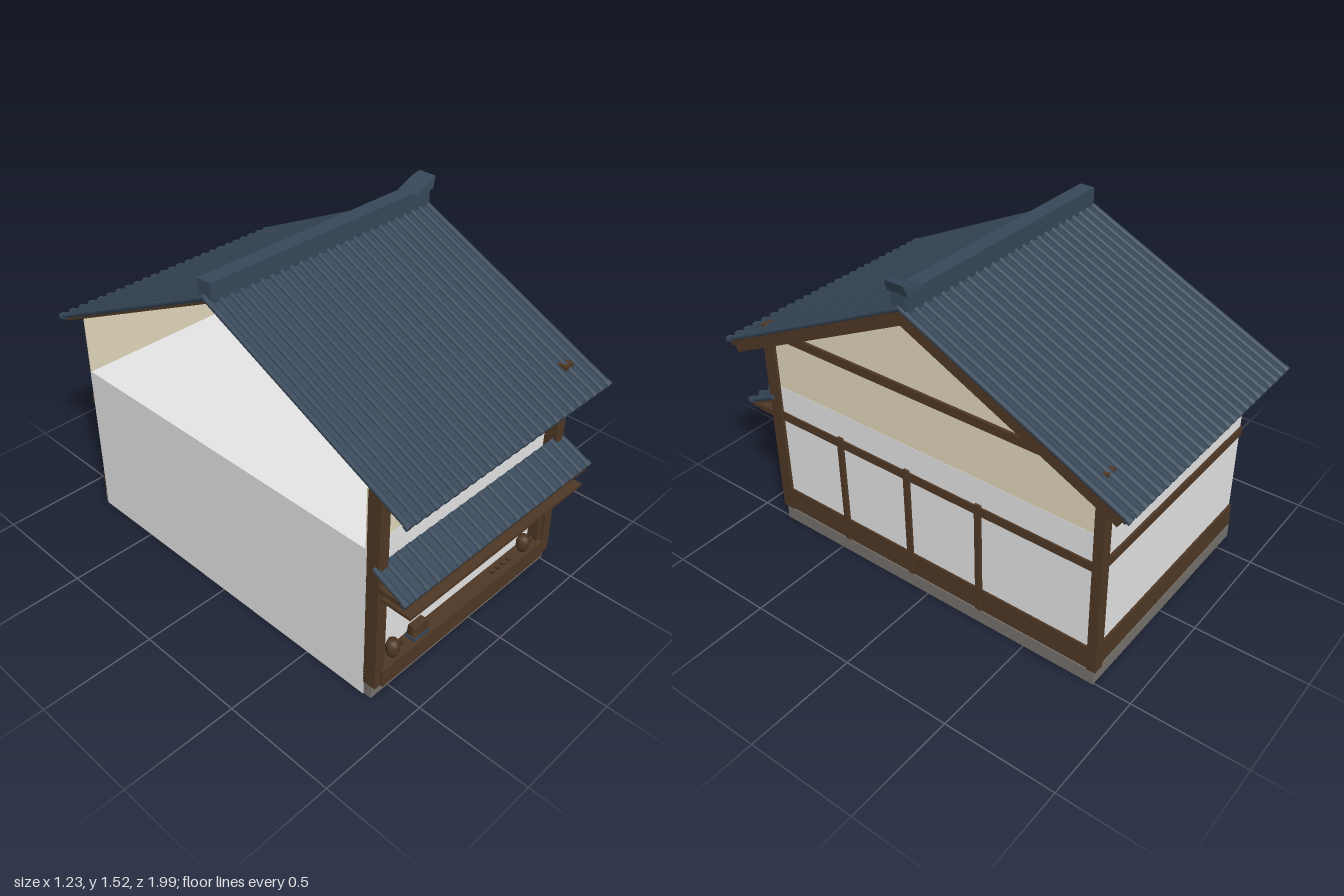
import * as THREE from 'three';

const mat = (name, hex) => {
  const m = new THREE.MeshStandardMaterial({ color: hex, side: THREE.DoubleSide });
  m.name = name;
  return m;
};

export function createModel() {
  const wood = mat('dark wood', 0x4f3825);
  const plaster = mat('cream plaster', 0xe3d8bc);
  const white = mat('white wall', 0xe6e6e6);
  const tile = mat('slate blue tile', 0x37485a);
  const stone = mat('foundation stone', 0x76716c);

  const house = new THREE.Group();
  house.name = 'townhouse';

  const add = (parent, name, geo, material) => {
    const mesh = new THREE.Mesh(geo, material);
    mesh.name = name;
    parent.add(mesh);
    return mesh;
  };
  // Box given by its limits on each axis
  const box = (name, material, x0, x1, y0, y1, z0, z1, parent = house) => {
    const mesh = add(parent, name, new THREE.BoxGeometry(x1 - x0, y1 - y0, z1 - z0), material);
    mesh.position.set((x0 + x1) / 2, (y0 + y1) / 2, (z0 + z1) / 2);
    return mesh;
  };

  // Foundation and solid lower body
  box('foundation', stone, -0.598, 0.51, 0.003, 0.068, -0.835, 0.84);
  box('lowerBody', white, -0.6, 0.497, 0, 0.73, -0.822, 0.802);

  // Upper walls; the -x end is left open above the body
  box('upperFrontWall', plaster, -0.6, 0.495, 0.73, 1.0, 0.795, 0.801);
  box('upperBackWall', plaster, -0.6, 0.495, 0.73, 0.99, -0.821, -0.815);
  const gable = new THREE.Shape();
  gable.moveTo(-0.82, 0.73);
  gable.lineTo(0.82, 0.73);
  gable.lineTo(0.82, 0.98);
  gable.lineTo(0, 1.37);
  gable.lineTo(-0.82, 0.98);
  const gableMesh = add(house, 'gableWall',
    new THREE.ExtrudeGeometry(gable, { depth: 0.006, bevelEnabled: false }), plaster);
  gableMesh.rotation.y = Math.PI / 2;
  gableMesh.position.x = 0.49;
  box('shopLintelPanel', plaster, -0.55, 0.43, 0.515, 0.57, 0.8, 0.81);

  // Corner posts
  box('frontPost', wood, -0.6, -0.55, 0.068, 1.0, 0.8, 0.86);
  box('frontPost', wood, 0.46, 0.51, 0.068, 1.02, 0.8, 0.86);
  box('innerFrontPost', wood, 0.43, 0.46, 0.068, 0.57, 0.8, 0.85);
  box('backPost', wood, 0.46, 0.51, 0.068, 1.02, -0.842, -0.8);

  // Side framing
  box('sideSill', wood, 0.49, 0.505, 0.068, 0.178, -0.8, 0.8);
  box('sideRail', wood, 0.49, 0.505, 0.56, 0.6, -0.8, 0.8);
  box('gableRail', wood, 0.49, 0.508, 0.975, 1.015, -0.83, 0.83);
  for (const z of [0.457, 0.092, -0.272]) {
    box('sideStud', wood, 0.49, 0.51, 0.068, 0.61, z - 0.014, z + 0.014);
  }

  // Back framing
  box('backSill', wood, -0.6, 0.46, 0.068, 0.178, -0.832, -0.815);
  box('backRail', wood, -0.6, 0.46, 0.56, 0.6, -0.832, -0.815);

  // Shop front sill and boards
  box('shopSill', wood, -0.57, 0.45, 0.068, 0.15, 0.79, 0.872);
  box('awningBeam', wood, -0.6, 0.51, 0.567, 0.588, 0.8, 0.985);
  box('hangingBoard', wood, -0.585, 0.465, 0.514, 0.528, 0.8, 0.998);

  // Upper window frames
  for (const [x0, x1] of [[-0.385, -0.08], [-0.037, 0.265]]) {
    for (const x of [x0, x1 - 0.016]) box('windowJamb', wood, x, x + 0.016, 0.718, 0.95, 0.8, 0.825);
    for (const y of [0.718, 0.935]) box('windowRail', wood, x0, x1, y, y + 0.016, 0.8, 0.825);
  }

  // Tiled slope running down local +z: pan, round ribs with end caps, boards below
  const slope = (name, x0, x1, length, r, count) => {
    const g = new THREE.Group();
    g.name = name;
    box('tilePan', tile, x0, x1, -r * 1.9, -r * 1.0, 0, length, g);
    box('soffitBoard', wood, x0 + 0.005, x1 - 0.005, -r * 2.6, -r * 1.9, 0, length - 0.012, g);
    const rib = new THREE.CylinderGeometry(r * 0.78, r * 0.78, length, 8).rotateX(Math.PI / 2);
    const cap = new THREE.CylinderGeometry(r, r, 0.02, 8).rotateX(Math.PI / 2);
    for (let i = 0; i < count; i++) {
      const x = x0 + ((x1 - x0) * i) / (count - 1);
      add(g, 'tileRib', rib, tile).position.set(x, -r, length / 2);
      add(g, 'ribEndCap', cap, tile).position.set(x, -r * 1.05, length - 0.008);
    }
    return g;
  };

  // Main roof, both slopes
  const pitch = Math.atan(0.48);
  for (const side of [1, -1]) {
    const [x0, x1] = side > 0 ? [-0.6, 0.585] : [-0.585, 0.6];
    const roof = slope('roofSlope', x0, x1, 1.1, 0.016, 25);
    const edge = side * 0.572;
    box('upperBargeboard', wood, edge - 0.016, edge + 0.018, -0.045, -0.02, 0, 1.09, roof);
    box('lowerBargeboard', wood, edge - 0.016, edge + 0.014, -0.08, -0.045, 0, 1.075, roof);
    roof.rotation.x = pitch;
    const holder = new THREE.Group();
    holder.name = side > 0 ? 'frontRoof' : 'backRoof';
    holder.add(roof);
    holder.position.y = 1.43;
    holder.rotation.y = side > 0 ? 0 : Math.PI;
    house.add(holder);
  }

  // Ridge and its flared end ornament
  box('ridge', tile, -0.6, 0.59, 1.39, 1.48, -0.035, 0.035);
  const horn = new THREE.Shape();
  horn.moveTo(0.49, 1.472);
  horn.lineTo(0.592, 1.472);
  horn.lineTo(0.612, 1.522);
  horn.lineTo(0.57, 1.515);
  const hornGeo = new THREE.ExtrudeGeometry(horn, { depth: 0.1, bevelEnabled: false }).translate(0, 0, -0.05);
  const p = hornGeo.attributes.position;
  for (let i = 0; i < p.count; i++) if (p.getY(i) > 1.5) p.setZ(i, p.getZ(i) * 0.85);
  hornGeo.computeVertexNormals();
  add(house, 'ridgeOrnament', hornGeo, tile);

  // Awning over the shop front
  const awning = slope('awning', -0.6, 0.51, 0.172, 0.016, 20);
  awning.position.set(0, 0.682, 0.845);
  awning.rotation.x = Math.atan(0.48);
  house.add(awning);

  // Ribbed barrels and small bottles on the sill
  const barrel = new THREE.LatheGeometry([[0, 0], [0.02, 0], [0.028, 0.02], [0.028, 0.05], [0.02, 0.072], [0, 0.072]]
    .map(([x, y]) => new THREE.Vector2(x, y)), 10);
  const bottle = new THREE.LatheGeometry([[0, 0], [0.005, 0.003], [0.008, 0.02], [0.004, 0.036], [0, 0.036]]
    .map(([x, y]) => new THREE.Vector2(x, y)), 8);
  for (const [bx, sx] of [[-0.478, -0.424], [0.347, 0.402]]) {
    add(house, 'barrel', barrel, wood).position.set(bx, 0.15, 0.836);
    add(house, 'bottle', bottle, wood).position.set(sx, 0.155, 0.836);
  }

  // Display chest and tray of small dishes
  box('chestBase', tile, -0.377, -0.285, 0.15, 0.166, 0.81, 0.86);
  const chest = add(house, 'chest', new THREE.CylinderGeometry(0.052, 0.06, 0.046, 4, 1, false, Math.PI / 4), wood);
  chest.scale.z = 0.5;
  chest.position.set(-0.331, 0.188, 0.836);
  const dish = new THREE.CylinderGeometry(0.015, 0.01, 0.014, 8);
  for (let i = 0; i < 4; i++) {
    add(house, 'dish', dish, wood).position.set(0.143 + i * 0.036, 0.16, 0.836);
  }

  return house;
}
